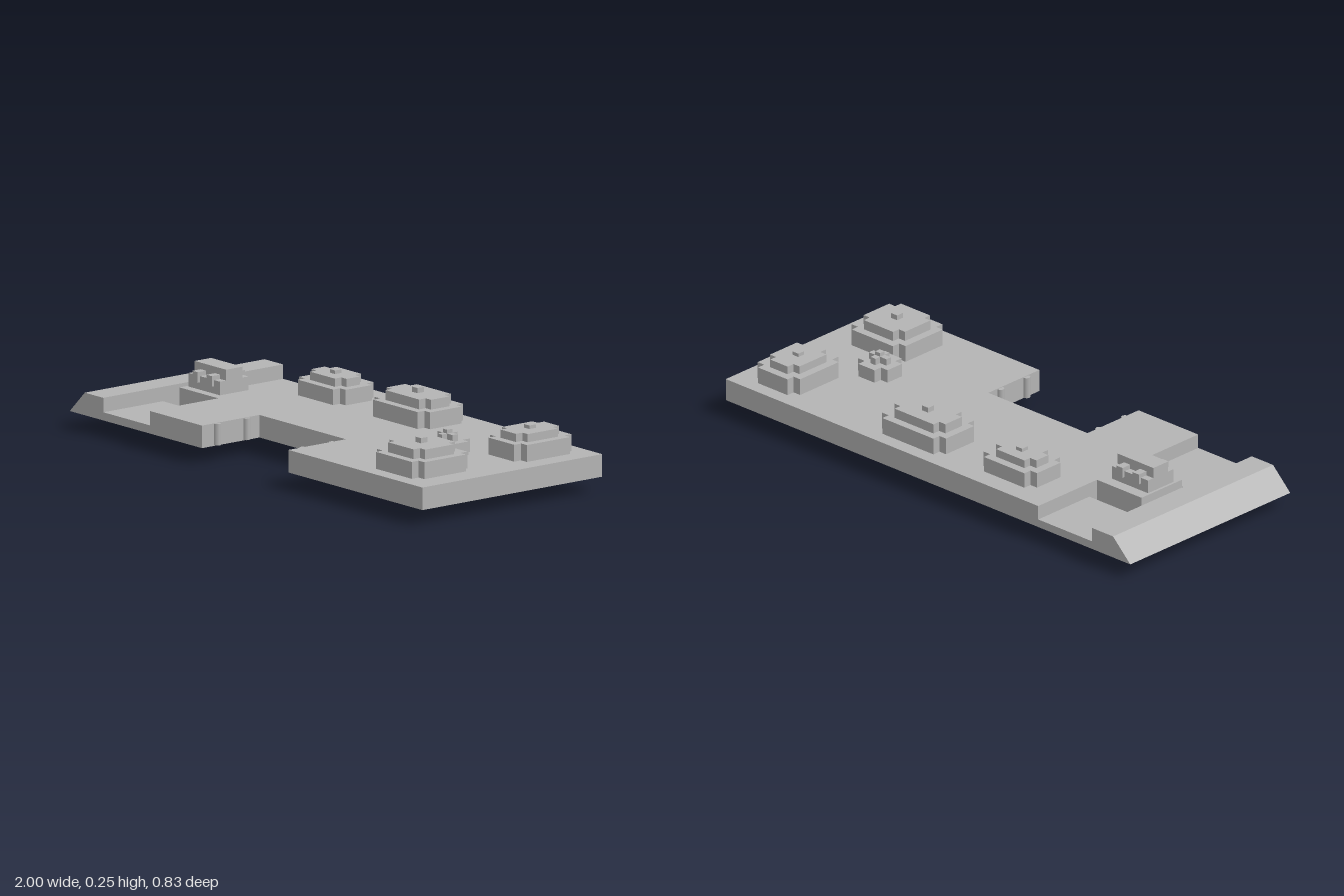
import * as THREE from 'three';

export function createModel() {
  const model = new THREE.Group();
  const grey = new THREE.MeshStandardMaterial({ color: 0xb4b4b4 });
  grey.name = 'grey';

  const add = (name, geometry, parent = model) => {
    const mesh = new THREE.Mesh(geometry, grey);
    mesh.name = name;
    parent.add(mesh);
    return mesh;
  };
  // Box given by its limits on each axis
  const box = (name, x0, x1, y0, y1, z0, z1, parent) =>
    add(name, new THREE.BoxGeometry(x1 - x0, y1 - y0, z1 - z0)
      .translate((x0 + x1) / 2, (y0 + y1) / 2, (z0 + z1) / 2), parent);
  // Plan outline of [x, z] points raised from y0 to y1
  const prism = (name, points, y0, y1, parent) => {
    const shape = new THREE.Shape(points.map(([x, z]) => new THREE.Vector2(x, -z)));
    const geometry = new THREE.ExtrudeGeometry(shape, { depth: y1 - y0, bevelEnabled: false });
    return add(name, geometry.rotateX(-Math.PI / 2).translate(0, y0, 0), parent);
  };

  const BOTTOM = 0.055, FLOOR = 0.085, DECK = 0.138, HALF = 0.415;

  // Main deck with the front notch and the tongue reaching into the slot
  prism('deck', [
    [-0.545, HALF], [-0.25, HALF], [-0.25, 0.15], [0.24, 0.15], [0.24, HALF], [1, HALF],
    [1, -HALF], [-0.545, -HALF], [-0.545, -0.11], [-0.765, -0.11], [-0.765, 0.1], [-0.545, 0.1],
  ], BOTTOM, DECK);

  // Sunken channel floors on both sides of the slot
  box('channelFloor', -0.81, -0.545, BOTTOM, FLOOR, 0.14, HALF);
  box('channelFloor', -0.81, -0.545, BOTTOM, FLOOR, -HALF, -0.15);

  // Sloped end ridge
  const ridge = new THREE.Shape([[-1, BOTTOM], [-0.81, BOTTOM], [-0.81, DECK], [-0.915, DECK]]
    .map(([x, y]) => new THREE.Vector2(x, y)));
  add('endRidge', new THREE.ExtrudeGeometry(ridge, { depth: HALF * 2, bevelEnabled: false })
    .translate(0, 0, -HALF));

  // Guide posts on the notch walls
  for (const x of [-0.25, 0.237]) for (const z of [0.21, 0.345]) {
    add('guidePost', new THREE.CylinderGeometry(0.014, 0.014, DECK - BOTTOM - 0.004, 8))
      .position.set(x, (BOTTOM + DECK) / 2, z);
  }

  // Rectangle with a square step cut from each corner
  const stepped = (w, d, c) => [
    [-w, d - c], [-w + c, d - c], [-w + c, d], [w - c, d], [w - c, d - c], [w, d - c],
    [w, c - d], [w - c, c - d], [w - c, -d], [c - w, -d], [c - w, c - d], [-w, c - d],
  ];
  // Two-tier blocks: x, z, half width, half depth, tier tops, knob top
  for (const [x, z, w, d, low, high, knob] of [
    [-0.303, -0.245, 0.132, 0.093, 0.195, 0.225, 0.238],
    [0.152, -0.255, 0.158, 0.105, 0.2, 0.236, 0.255],
    [0.82, -0.228, 0.105, 0.132, 0.2, 0.23, 0.243],
    [0.768, 0.23, 0.134, 0.128, 0.2, 0.236, 0.255],
  ]) {
    const block = new THREE.Group();
    block.name = 'steppedBlock';
    block.position.set(x, 0, z);
    model.add(block);
    prism('lowerTier', stepped(w, d, 0.032), DECK, low, block);
    prism('upperTier', stepped(w - 0.032, d - 0.032, 0.03), low, high, block);
    box('knob', -0.015, 0.015, high, knob, -0.015, 0.015, block);
  }

  // Small cross-shaped block with a finned top
  const cross = new THREE.Group();
  cross.name = 'crossBlock';
  cross.position.set(0.633, 0, 0);
  model.add(cross);
  prism('crossBase', stepped(0.073, 0.07, 0.033), DECK, 0.187, cross);
  box('crossFin', -0.043, 0.043, 0.187, 0.212, -0.012, 0.012, cross);
  box('crossFin', -0.012, 0.012, 0.187, 0.212, -0.036, 0.036, cross);
  box('crossKnob', -0.012, 0.012, 0.212, 0.226, -0.012, 0.012, cross);

  // Control block standing on the tongue, with side lugs
  const control = new THREE.Group();
  control.name = 'controlBlock';
  model.add(control);
  box('controlBase', -0.755, -0.577, DECK, 0.188, -0.066, 0.066, control);
  box('controlTop', -0.755, -0.577, 0.188, 0.228, -0.038, 0.038, control);
  for (const x of [-0.705, -0.625]) {
    box('sideLug', x - 0.015, x + 0.015, 0.165, 0.204, -0.077, 0.077, control);
  }

  // Underside housing and its small foot
  box('bottomHousing', 0.46, 0.715, 0.012, BOTTOM, -0.005, 0.145);
  box('bottomFoot', 0.555, 0.62, 0, 0.012, 0.08, 0.145);

  return model;
}
